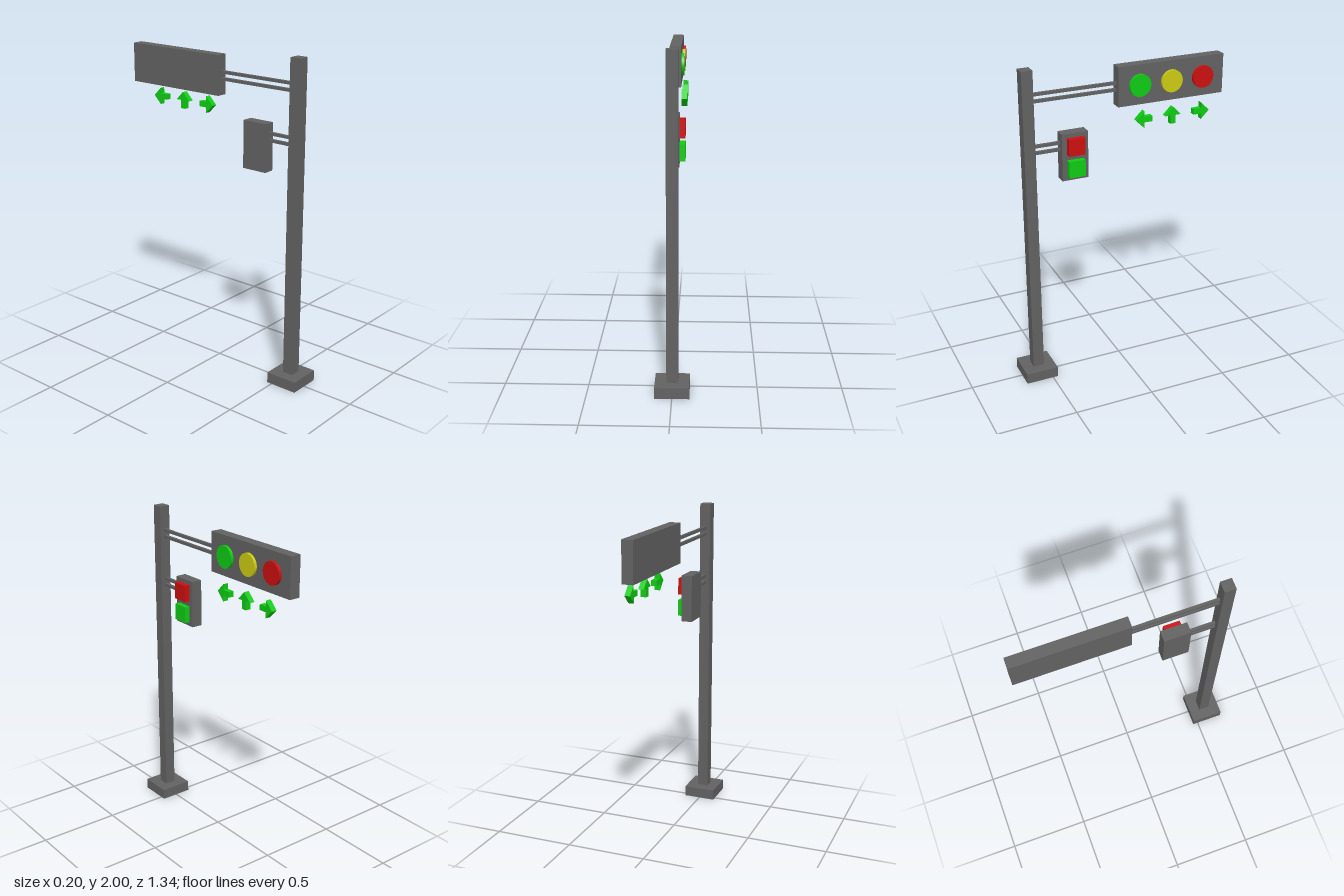
import * as THREE from 'three';

const paint = (color) => new THREE.MeshStandardMaterial({ color });

export function createModel() {
  const model = new THREE.Group();
  const grey = paint(0x626262);
  const red = paint(0xcc0f0f);
  const yellow = paint(0xcccc14);
  const green = paint(0x0fcc14);

  const add = (name, geometry, material, x, y, z) => {
    const mesh = new THREE.Mesh(geometry, material);
    mesh.name = name;
    mesh.position.set(x, y, z);
    model.add(mesh);
    return mesh;
  };
  // Box given by its ranges along each axis
  const box = (name, material, [x0, x1], [y0, y1], [z0, z1]) =>
    add(name, new THREE.BoxGeometry(x1 - x0, y1 - y0, z1 - z0), material,
      (x0 + x1) / 2, (y0 + y1) / 2, (z0 + z1) / 2);

  const face = 0.034; // x of the housing fronts

  // Foot and pole
  box('base', grey, [-0.102, 0.102], [0, 0.067], [0.467, 0.671]);
  box('pole', grey, [-face, face], [0.067, 2], [0.535, 0.603]);

  // Signal housings
  box('vehicleHousing', grey, [-face, face], [1.71, 1.952], [-0.671, 0.017]);
  box('pedestrianHousing', grey, [-face, face], [1.305, 1.596], [0.21, 0.374]);

  // Paired arms from the pole to each housing
  for (const [name, y, end] of [['vehicleArm', 1.829, 0.017], ['pedestrianArm', 1.516, 0.374]]) {
    for (const side of [-1, 1]) {
      const mid = y + side * 0.0205;
      box(name, grey, [-0.009, 0.009], [mid - 0.009, mid + 0.009], [end, 0.535]);
    }
  }

  // Round vehicle lamps
  const lampGeometry = new THREE.CylinderGeometry(0.068, 0.068, 0.017, 32).rotateZ(-Math.PI / 2);
  [['greenLamp', green], ['yellowLamp', yellow], ['redLamp', red]].forEach(([name, material], i) =>
    add(name, lampGeometry, material, face + 0.0085, 1.829, -0.119 - i * 0.206));

  // Square pedestrian lamps
  box('pedestrianRedLamp', red, [face, 0.068], [1.467, 1.57], [0.241, 0.343]);
  box('pedestrianGreenLamp', green, [face, 0.068], [1.331, 1.433], [0.241, 0.343]);

  // Arrows below the vehicle housing: left, up, right
  const arrow = new THREE.Shape([
    [0, 0.052], [-0.052, 0], [-0.017, 0], [-0.017, -0.052],
    [0.017, -0.052], [0.017, 0], [0.052, 0],
  ].map(([x, y]) => new THREE.Vector2(x, y)));
  ['leftArrow', 'upArrow', 'rightArrow'].forEach((name, i) => {
    const geometry = new THREE.ExtrudeGeometry(arrow, { depth: 0.034, bevelEnabled: false })
      .rotateZ((1 - i) * Math.PI / 2)
      .rotateY(Math.PI / 2);
    add(name, geometry, green, face, 1.623, -0.137 - i * 0.189);
  });

  return model;
}
